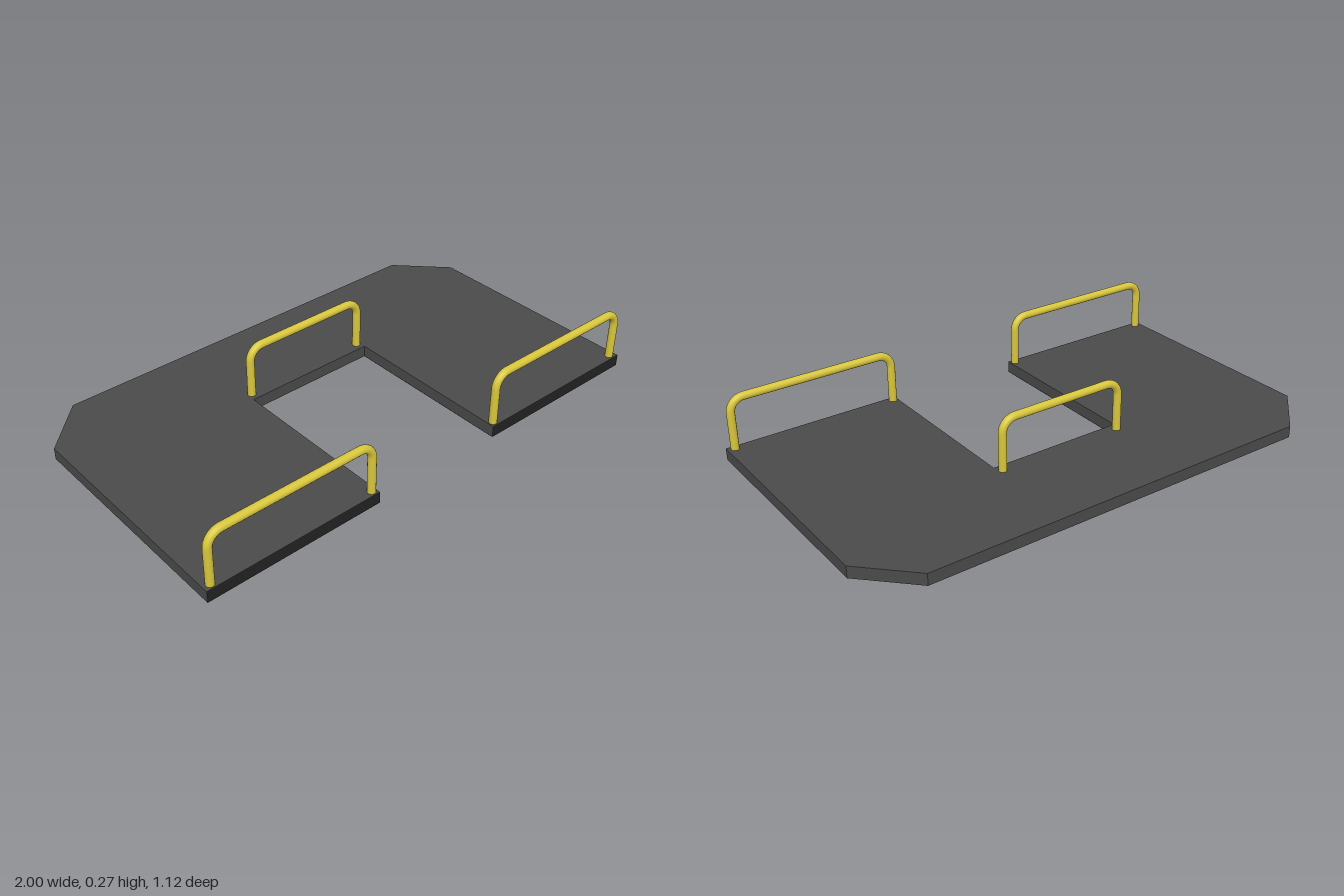
import * as THREE from 'three';

const deckTop = 0.047, front = 0.558, halfNotch = 0.28;
const deckMaterial = new THREE.MeshStandardMaterial({ color: 0x4a4a4a });
const edgeMaterial = new THREE.MeshStandardMaterial({ color: 0x222222 });
const railMaterial = new THREE.MeshStandardMaterial({ color: 0xd8c63c });

// U-shaped floor plate with two chamfered back corners
function makeDeck() {
  const outline = [
    [-1, -front], [-halfNotch, -front], [-halfNotch, 0.145], [halfNotch, 0.145],
    [halfNotch, -front], [1, -front], [1, 0.372], [0.815, front], [-0.815, front], [-1, 0.372],
  ].map(([x, y]) => new THREE.Vector2(x, y));
  const geometry = new THREE.ExtrudeGeometry(new THREE.Shape(outline), { depth: deckTop, bevelEnabled: false });
  geometry.rotateX(-Math.PI / 2);
  const deck = new THREE.Mesh(geometry, deckMaterial);
  deck.name = 'deck';
  return deck;
}

// Hoop-shaped guard rail: two posts joined by a top bar with rounded bends
function makeRail(name, x0, x1, z) {
  const top = 0.251, bend = 0.055, base = deckTop - 0.005;
  const p = (x, y) => new THREE.Vector3(x, y, z);
  const path = new THREE.CurvePath();
  const k = bend * 0.448; // handle distance from the corner for a circular bend
  path.add(new THREE.LineCurve3(p(x0, base), p(x0, top - bend)));
  path.add(new THREE.CubicBezierCurve3(p(x0, top - bend), p(x0, top - k), p(x0 + k, top), p(x0 + bend, top)));
  path.add(new THREE.LineCurve3(p(x0 + bend, top), p(x1 - bend, top)));
  path.add(new THREE.CubicBezierCurve3(p(x1 - bend, top), p(x1 - k, top), p(x1, top - k), p(x1, top - bend)));
  path.add(new THREE.LineCurve3(p(x1, top - bend), p(x1, base)));
  const rail = new THREE.Mesh(new THREE.TubeGeometry(path, 110, 0.016, 16), railMaterial);
  rail.name = name;
  return rail;
}

export function createModel() {
  const model = new THREE.Group();
  model.name = 'guardedPlatform';
  model.add(makeDeck());

  // Dark facing on the front end of each arm
  for (const [side, s] of [['left', 1], ['right', -1]]) {
    const edge = new THREE.Mesh(new THREE.PlaneGeometry(1 - halfNotch, deckTop), edgeMaterial);
    edge.position.set(s * (1 + halfNotch) / 2, deckTop / 2, front + 0.001);
    edge.name = side + 'FrontEdge';
    model.add(edge);
  }

  // Dark underside, following the deck outline
  const under = makeDeck();
  under.geometry.scale(0.999, 0.02, 0.999);
  under.material = edgeMaterial;
  under.position.y = -0.0005;
  under.name = 'underside';
  model.add(under);

  model.add(makeRail('leftRail', 0.3, 0.972, 0.537));
  model.add(makeRail('rightRail', -0.972, -0.3, 0.537));
  model.add(makeRail('centreRail', -0.264, 0.264, -0.178));
  return model;
}
